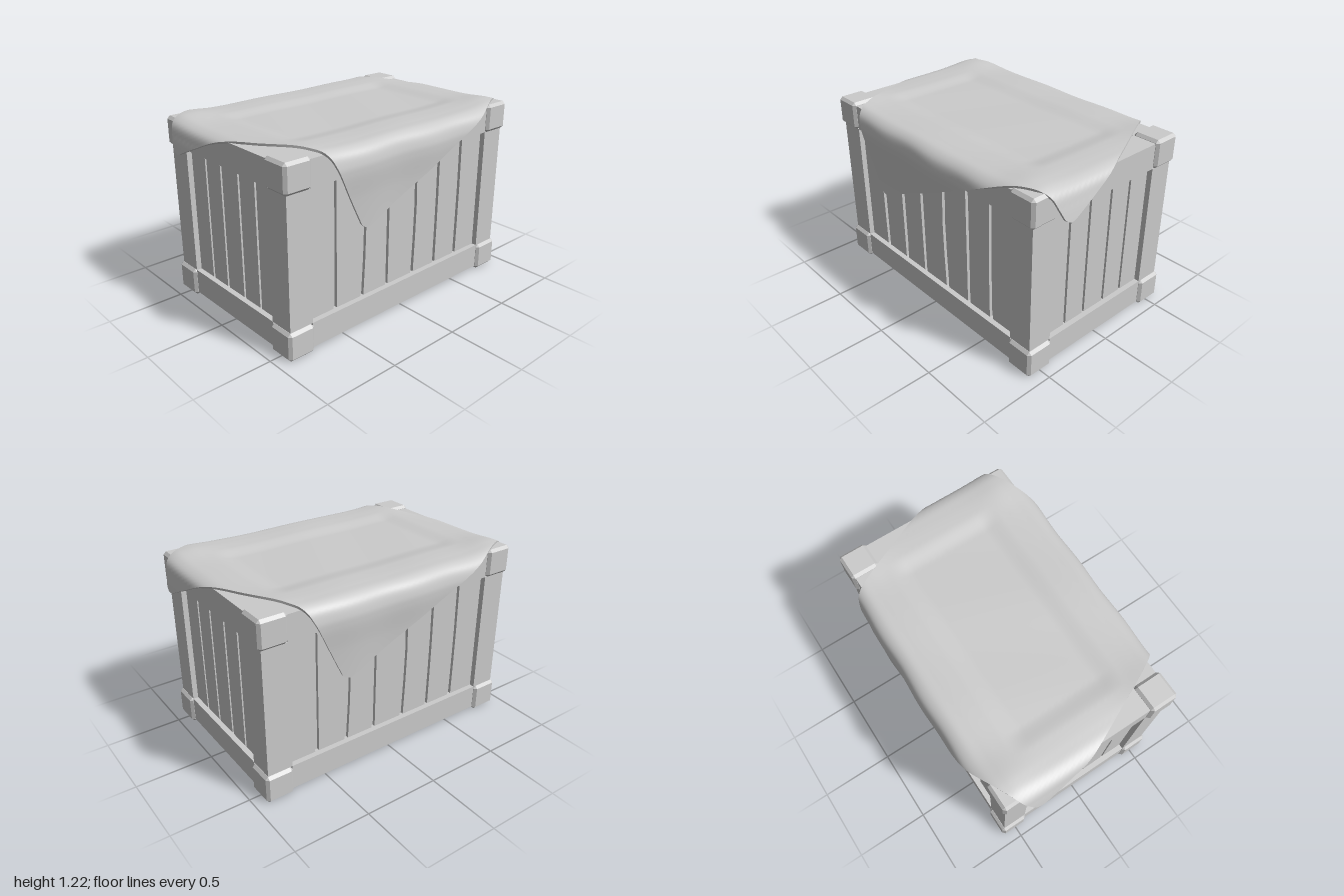
import * as THREE from 'three';
import { ConvexGeometry } from 'three/addons/geometries/ConvexGeometry.js';
import { ParametricGeometry } from 'three/addons/geometries/ParametricGeometry.js';

const grey = new THREE.MeshStandardMaterial({ color: 0xcccccc });
const clothMaterial = new THREE.MeshStandardMaterial({ color: 0xcccccc, side: THREE.DoubleSide });

// Crate half sizes, height range and frame width
const X = 0.91, Z = 0.58, Y0 = 0.02, Y1 = 1.18, W = 0.165;
const MID = (Y0 + Y1) / 2, RECESS = 0.035, PLANK = 0.02;

function add(parent, name, geometry, x = 0, y = 0, z = 0, material = grey) {
  const mesh = new THREE.Mesh(geometry, material);
  mesh.name = name;
  mesh.position.set(x, y, z);
  parent.add(mesh);
  return mesh;
}

// Box with all twelve edges cut at an angle
function chamferedBox(w, h, d, c) {
  const points = [];
  for (const i of [-1, 1]) for (const j of [-1, 1]) for (const k of [-1, 1]) {
    const [x, y, z] = [i * w / 2, j * h / 2, k * d / 2];
    points.push(
      new THREE.Vector3(x, y - j * c, z - k * c),
      new THREE.Vector3(x - i * c, y, z - k * c),
      new THREE.Vector3(x - i * c, y - j * c, z));
  }
  return new ConvexGeometry(points);
}

// Row of upright planks facing +z; each gap is [left, right, left bulge, right bulge]
function plankPanel(name, width, height, gaps) {
  const panel = new THREE.Group();
  panel.name = name;
  const h = height / 2;
  const bounds = [[0, -width / 2, 0, 0], ...gaps, [width / 2, 0, 0, 0]];
  for (let i = 0; i < bounds.length - 1; i++) {
    const [, left, , leftBulge = 0] = bounds[i];
    const [right, , rightBulge = 0] = bounds[i + 1];
    const shape = new THREE.Shape([
      [left, -h], [right, -h], [right + rightBulge * 0.7, -h * 0.4], [right + rightBulge, h * 0.15],
      [right, h], [left, h], [left + leftBulge, h * 0.15], [left + leftBulge * 0.7, -h * 0.4],
    ].map(([x, y]) => new THREE.Vector2(x, y)));
    add(panel, 'plank', new THREE.ExtrudeGeometry(shape, { depth: PLANK, bevelEnabled: false }));
  }
  return panel;
}

function buildFrame(crate) {
  const sx = 2 * (X - W), sz = 2 * (Z - W), sy = Y1 - Y0 - 2 * W;
  const cap = chamferedBox(W + 0.02, W + 0.02, W + 0.02, 0.018);
  for (const i of [-1, 1]) {
    for (const j of [-1, 1]) {
      add(crate, 'cornerPost', new THREE.BoxGeometry(W, sy, W), i * (X - W / 2), MID, j * (Z - W / 2));
      const railY = MID + j * ((Y1 - Y0) / 2 - W / 2);
      add(crate, 'longRail', new THREE.BoxGeometry(sx, W, W), 0, railY, i * (Z - W / 2));
      add(crate, 'shortRail', new THREE.BoxGeometry(W, W, sz), i * (X - W / 2), railY, 0);
      for (const k of [-1, 1]) {
        add(crate, 'cornerCap', cap, i * (X - W / 2 + 0.01),
          MID + j * ((Y1 - Y0) / 2 - W / 2 + 0.01), k * (Z - W / 2 + 0.01));
      }
    }
  }
}

function buildPanels(crate) {
  const inset = RECESS + PLANK;
  const sx = 2 * (X - W), sz = 2 * (Z - W), sy = Y1 - Y0 - 2 * W;
  add(crate, 'innerBox', new THREE.BoxGeometry(2 * (X - inset), Y1 - Y0 - 2 * inset, 2 * (Z - inset)), 0, MID, 0);

  const longGaps = [
    [-0.56, -0.532, -0.005, 0], [-0.34, -0.315, 0, 0.018], [-0.128, -0.104, -0.004, 0],
    [0.105, 0.13, -0.015, 0.012], [0.32, 0.343, 0, 0.004], [0.528, 0.555, -0.005, 0.004],
  ];
  const straightGaps = longGaps.map(([a, b]) => [a, b, 0, 0]);
  const shortGaps = [-0.255, -0.09, 0.09, 0.255].map(x => [x - 0.009, x + 0.009, 0, 0]);

  for (const s of [1, -1]) {
    const turn = s > 0 ? 0 : Math.PI;
    const long = plankPanel(s > 0 ? 'frontPlanks' : 'backPlanks', sx, sy, longGaps);
    long.position.set(0, MID, s * (Z - inset));
    long.rotation.y = turn;
    const short = plankPanel(s > 0 ? 'leftPlanks' : 'rightPlanks', sz, sy, shortGaps);
    short.position.set(s * (X - inset), MID, 0);
    short.rotation.y = Math.PI / 2 + turn;
    const flat = plankPanel(s > 0 ? 'lidPlanks' : 'basePlanks', sx, sz, straightGaps);
    flat.position.set(0, MID + s * ((Y1 - Y0) / 2 - inset), 0);
    flat.rotation.x = -s * Math.PI / 2;
    crate.add(long, short, flat);
  }
}

// Fold of the cloth over an edge: distance along the cloth -> [outward, drop]
function foldProfile(points) {
  const curve = new THREE.CatmullRomCurve3(points.map(([a, b]) => new THREE.Vector3(a, b, 0)), false, 'centripetal');
  curve.arcLengthDivisions = 800;
  const length = curve.getLength();
  return d => {
    const p = curve.getPointAt(Math.min(Math.abs(d) / length, 1));
    return [Math.sign(d) * p.x, p.y];
  };
}
const foldX = foldProfile([[0, 0], [0.6, 0], [0.82, 0], [0.9, -0.008], [0.95, -0.035], [0.975, -0.1], [1.0, -0.2], [1.01, -0.25]]);
const foldZ = foldProfile([[0, 0], [0.35, 0], [0.51, 0], [0.59, -0.008], [0.635, -0.04], [0.657, -0.1], [0.66, -0.15], [0.65, -0.3], [0.644, -0.52], [0.644, -0.65]]);

const HALF = 0.852, TURN = THREE.MathUtils.degToRad(25.5), ROUND = 0.075;
const bell = (d, width) => Math.exp(-((d / width) ** 2));

// Point on the draped cloth for s, t in -1..1
function clothPoint(s, t) {
  let a = Math.abs(s), b = Math.abs(t);
  const c = 1 - ROUND;
  if (a > c && b > c) {
    // rounded corners
    const p = (a - c) / ROUND, q = (b - c) / ROUND;
    a = c + ROUND * p * Math.sqrt(1 - q * q / 2);
    b = c + ROUND * q * Math.sqrt(1 - p * p / 2);
  }
  const e = Math.sign(s) * a * HALF, f = Math.sign(t) * b * HALF;
  const u = e * Math.cos(TURN) + f * Math.sin(TURN);
  const v = f * Math.cos(TURN) - e * Math.sin(TURN);
  const [x, dropX] = foldX(u);
  const [z, dropZ] = foldZ(v);
  // sag inside the rim, lift over the caps, soft ripples on the hanging flaps
  const sag = 0.016 * THREE.MathUtils.smoothstep(0.72 - Math.abs(u), 0, 0.14) * THREE.MathUtils.smoothstep(0.4 - Math.abs(v), 0, 0.14);
  const lift = 0.02 * bell(Math.abs(u) - 0.82, 0.17) * bell(Math.abs(v) - 0.5, 0.17);
  const hang = THREE.MathUtils.smoothstep(Math.abs(v), 0.5, 0.7) * Math.sign(v);
  const ripple = hang * (0.012 * Math.sign(v) * u + 0.004 * Math.sin(13 * u * Math.sign(v)));
  return new THREE.Vector3(x, 1.2 + dropX + dropZ - sag + lift + 0.002 * Math.sin(9 * u + 4 * v), z + ripple);
}

// Same point pushed inward by the cloth thickness
function clothInner(s, t) {
  const h = 0.004, s0 = Math.min(s, 1 - h), t0 = Math.min(t, 1 - h);
  const p = clothPoint(s0, t0);
  const n = clothPoint(s0, t0 + h).sub(p).cross(clothPoint(s0 + h, t0).sub(p)).normalize();
  return clothPoint(s, t).addScaledVector(n, -0.014);
}

function buildCloth(group) {
  const cloth = new THREE.Group();
  cloth.name = 'cloth';
  const N = 84;
  add(cloth, 'clothTop', new ParametricGeometry((u, v, out) => out.copy(clothPoint(2 * u - 1, 1 - 2 * v)), N, N), 0, 0, 0, clothMaterial);
  add(cloth, 'clothUnderside', new ParametricGeometry((u, v, out) => out.copy(clothInner(2 * u - 1, 2 * v - 1)), N, N), 0, 0, 0, clothMaterial);
  add(cloth, 'clothHem', new ParametricGeometry((u, v, out) => {
    const side = Math.min(Math.floor(u * 4), 3), k = 2 * (u * 4 - side) - 1;
    const [s, t] = [[k, 1], [1, -k], [-k, -1], [-1, k]][side];
    out.copy(clothPoint(s, t)).lerp(clothInner(s, t), v);
  }, 4 * N, 1), 0, 0, 0, clothMaterial);
  group.add(cloth);
}

export function createModel() {
  const model = new THREE.Group();
  model.name = 'coveredCrate';
  const crate = new THREE.Group();
  crate.name = 'crate';
  buildFrame(crate);
  buildPanels(crate);
  model.add(crate);
  buildCloth(model);
  return model;
}
